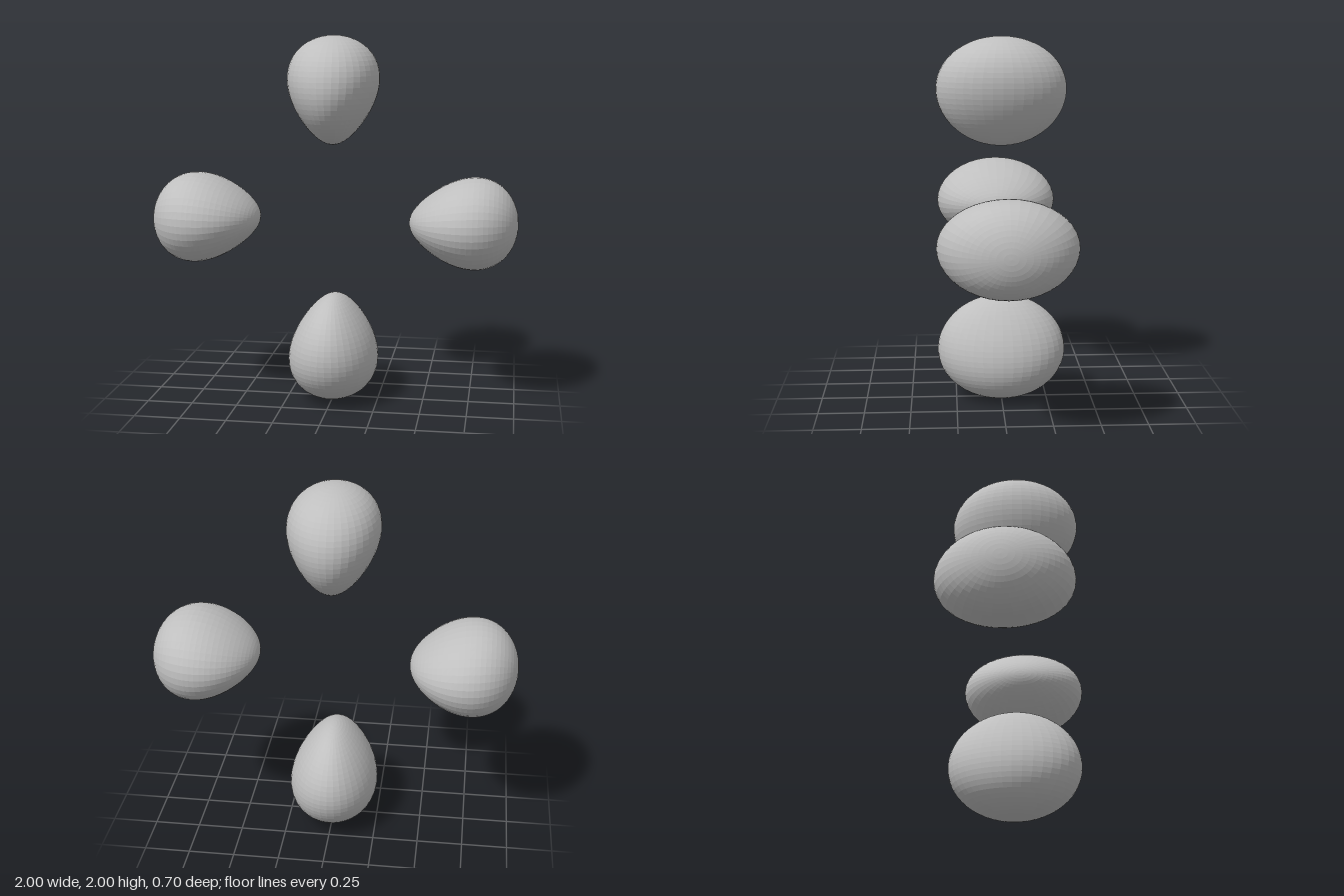
import * as THREE from 'three';

// Egg with its axis along y: narrow tip at the bottom, blunt end on top, deeper in z than in x
function eggGeometry() {
  const geometry = new THREE.SphereGeometry(1, 40, 32);
  const p = geometry.attributes.position;
  for (let i = 0; i < p.count; i++) {
    const c = p.getY(i);
    const width = 0.24 + 0.065 * c - 0.015 * c * c;
    const depth = 0.352 + 0.015 * c;
    p.setXYZ(i, p.getX(i) * width, 0.707 + 0.293 * c, p.getZ(i) * depth);
  }
  geometry.computeVertexNormals();
  return geometry;
}

export function createModel() {
  const model = new THREE.Group();
  model.name = 'eggRing';

  const grey = new THREE.MeshStandardMaterial({ color: 0xbfbfbf, flatShading: true });
  grey.name = 'grey';

  // Four eggs around the centre, tips pointing inwards
  const geometry = eggGeometry();
  ['topEgg', 'rightEgg', 'bottomEgg', 'leftEgg'].forEach((name, i) => {
    const egg = new THREE.Mesh(geometry, grey);
    egg.name = name;
    egg.position.y = 1;
    egg.rotation.z = i * Math.PI / 2;
    model.add(egg);
  });

  return model;
}
